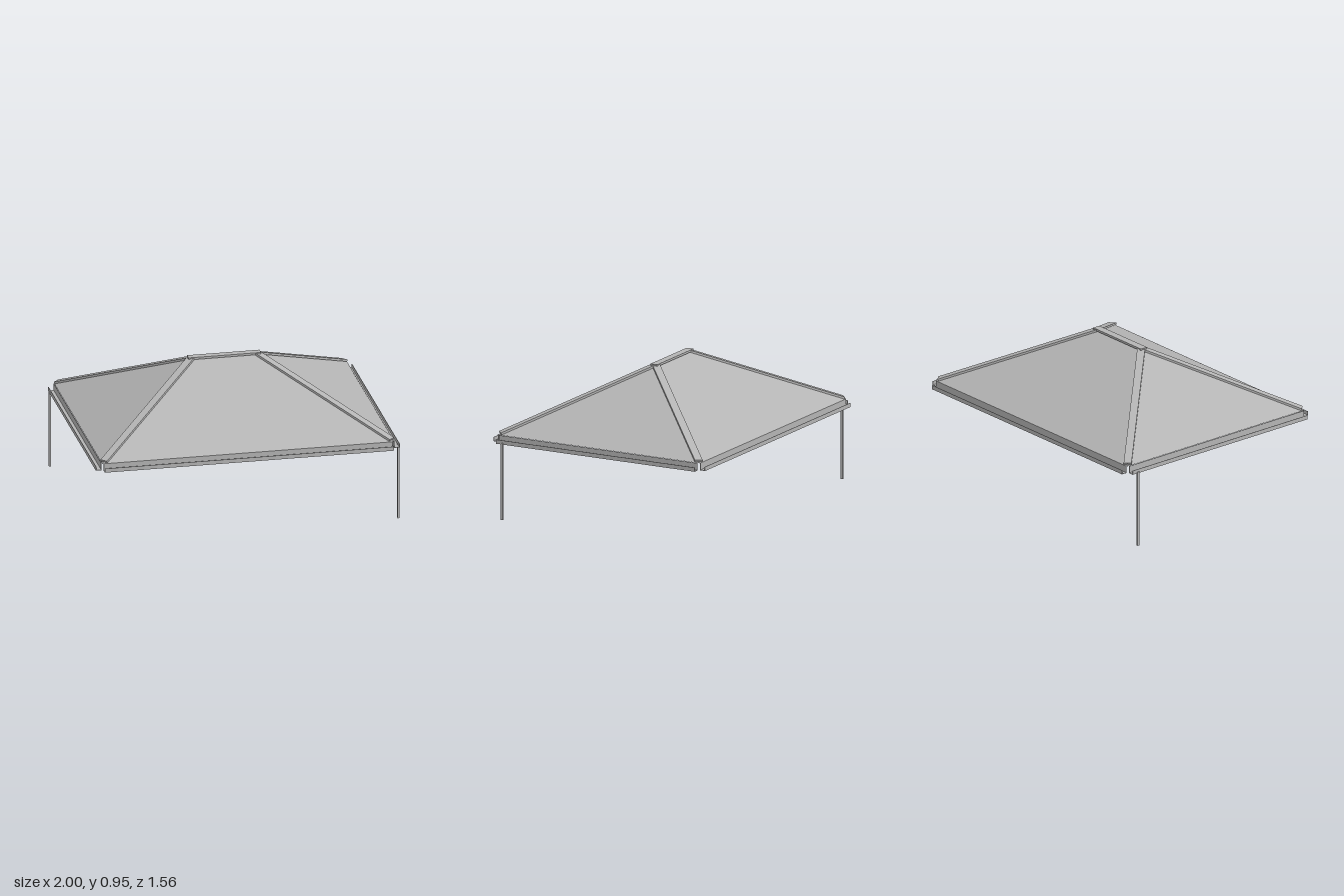
import * as THREE from 'three';

const EAVE_X = 0.955, EAVE_Z = 0.743, EAVE_Y = 0.547;
const RIDGE_X = 0.212, RIDGE_Y = 0.936;

export function createModel() {
  const group = new THREE.Group();
  const metal = new THREE.MeshStandardMaterial({ color: 0xb4b4b4 });
  metal.name = 'grey sheet metal';
  metal.side = THREE.DoubleSide;

  const add = (name, geometry) => {
    const mesh = new THREE.Mesh(geometry, metal);
    mesh.name = name;
    group.add(mesh);
    return mesh;
  };

  // Four thin roof slopes, each wound to face outward
  const eave = (sx, sz) => new THREE.Vector3(sx * EAVE_X, EAVE_Y, sz * EAVE_Z);
  const ridge = (sx) => new THREE.Vector3(sx * RIDGE_X, RIDGE_Y, 0);
  const slope = (name, points) => {
    const corners = [];
    for (let i = 1; i < points.length - 1; i++) corners.push(points[0], points[i], points[i + 1]);
    const geometry = new THREE.BufferGeometry().setFromPoints(corners);
    geometry.computeVertexNormals();
    add(name, geometry);
  };
  for (const s of [1, -1]) {
    slope(s > 0 ? 'frontSlope' : 'backSlope', [eave(-s, s), eave(s, s), ridge(s), ridge(-s)]);
    slope(s > 0 ? 'leftSlope' : 'rightSlope', [eave(s, s), eave(s, -s), ridge(s)]);
  }

  // Flat cap strips laid along the ridge and the four hips
  const cap = (name, a, b) => {
    const along = b.clone().sub(a);
    const mesh = add(name, new THREE.BoxGeometry(0.05, 0.014, along.length()));
    along.normalize();
    const side = new THREE.Vector3(0, 1, 0).cross(along).normalize();
    const up = along.clone().cross(side);
    mesh.quaternion.setFromRotationMatrix(new THREE.Matrix4().makeBasis(side, up, along));
    mesh.position.copy(a).add(b).multiplyScalar(0.5).addScaledVector(up, 0.003);
  };
  cap('ridgeCap', new THREE.Vector3(-0.237, RIDGE_Y, 0), new THREE.Vector3(0.237, RIDGE_Y, 0));
  for (const sx of [1, -1]) for (const sz of [1, -1]) {
    cap('hipCap', eave(sx, sz).lerp(ridge(sx), 0.02), ridge(sx));
  }

  // Gutter section: tall back wall, flat floor and short front lip
  const t = 0.003, w = 0.038, floor = 0.498;
  const section = new THREE.Shape([
    [0, 0], [w, 0], [w, 0.027], [w - t, 0.027], [w - t, t], [t, t], [t, 0.048], [0, 0.048],
  ].map(([x, y]) => new THREE.Vector2(x, y)));
  const gutter = (name, length, offset, angle) => {
    const geometry = new THREE.ExtrudeGeometry(section, { depth: length, bevelEnabled: false });
    geometry.translate(offset, floor, -length / 2);
    add(name, geometry).rotation.y = angle;
  };
  gutter('leftGutter', 1.46, 0.956, 0);
  gutter('rightGutter', 1.46, 0.956, Math.PI);
  gutter('frontGutter', 1.89, 0.74, -Math.PI / 2);
  gutter('backGutter', 1.89, 0.74, Math.PI / 2);

  // Two slim downpipes at opposite corners
  for (const s of [1, -1]) {
    add('downpipe', new THREE.BoxGeometry(0.012, 0.508, 0.014)).position.set(s * 0.994, 0.254, s * 0.687);
  }
  return group;
}
